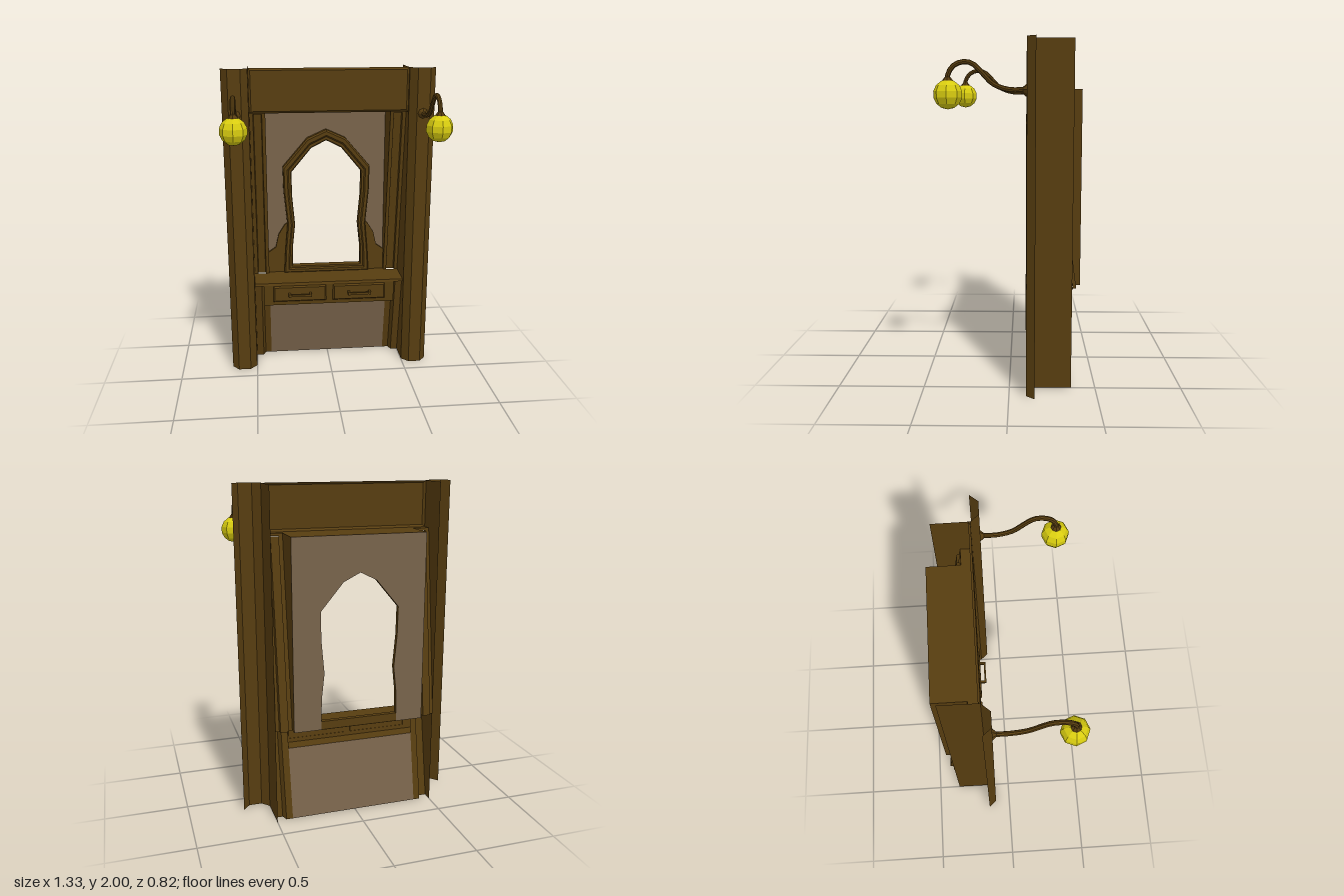
import * as THREE from 'three';

const mat = (color) => new THREE.MeshStandardMaterial({ color, flatShading: true, side: THREE.DoubleSide });
const wood = mat(0x573d10), paneling = mat(0x78634b), glow = mat(0xd8cc10);

export function createModel() {
  const root = new THREE.Group();
  const add = (name, geo, material = wood, parent = root) => {
    const mesh = new THREE.Mesh(geo, material);
    mesh.name = name;
    parent.add(mesh);
    return mesh;
  };

  // Skin joining successive rows of [x, y, z] points
  const skin = (rows, closed = false) => {
    const pos = [];
    for (let r = 0; r < rows.length - 1; r++) {
      const a = rows[r], b = rows[r + 1], n = a.length;
      for (let i = 0; i < (closed ? n : n - 1); i++) {
        const j = (i + 1) % n;
        pos.push(...a[i], ...a[j], ...b[j], ...a[i], ...b[j], ...b[i]);
      }
    }
    const geo = new THREE.BufferGeometry();
    geo.setAttribute('position', new THREE.Float32BufferAttribute(pos, 3));
    geo.computeVertexNormals();
    return geo;
  };
  const quad = (a, b, c, d) => skin([[a, b], [d, c]]);

  // Board with a bevelled rim: back rim at zb, face at zf
  const bevelBoard = (name, x0, x1, y0, y1, zb, zf, inset, parent) => {
    const rect = (k, z) => [[x0 + k, y0 + k, z], [x1 - k, y0 + k, z], [x1 - k, y1 - k, z], [x0 + k, y1 - k, z]];
    add(name + 'Rim', skin([rect(0, zb), rect(inset, zf)], true), wood, parent);
    add(name + 'Face', quad(...rect(inset, zf)), wood, parent);
  };

  // Slopes of the upper side posts and of the lower kick panel
  const upperZ = (y) => -0.365 + (y - 0.59) * 0.132;
  const lowerZ = (y) => -0.34 + y * 0.186;

  // Header, with its soffit and the ceiling of the niche
  bevelBoard('header', -0.5, 0.5, 1.725, 2, -0.157, -0.145, 0.013);
  add('soffit', quad([-0.5, 1.725, -0.157], [0.5, 1.725, -0.157], [0.5, 1.725, -0.215], [-0.5, 1.725, -0.215]));
  add('nicheCeiling', quad([-0.4, 1.725, -0.215], [0.4, 1.725, -0.215], [0.4, 1.725, -0.412], [-0.4, 1.725, -0.412]));

  // Shelf, apron and kick panel
  add('shelf', skin([
    [[-0.5, 0.575, -0.16], [0.5, 0.575, -0.16]],
    [[-0.5, 0.59, -0.165], [0.5, 0.59, -0.165]],
    [[-0.5, 0.59, -0.365], [0.5, 0.59, -0.365]],
  ]));
  add('shelfBack', quad([-0.4, 0.59, -0.365], [0.4, 0.59, -0.365], [0.4, 0.59, -0.412], [-0.4, 0.59, -0.412]));
  add('apron', skin([
    [[-0.44, 0.59, -0.165], [0.44, 0.59, -0.165]],
    [[-0.44, 0.43, -0.172], [0.44, 0.43, -0.172]],
    [[-0.44, 0.43, lowerZ(0.43)], [0.44, 0.43, lowerZ(0.43)]],
  ]));
  add('kickPanel', quad([-0.4, 0, lowerZ(0)], [0.4, 0, lowerZ(0)], [0.4, 0.43, lowerZ(0.43)], [-0.4, 0.43, lowerZ(0.43)]), paneling);

  // Half outlines of the mirror frame, from the foot up to the peak
  const outerHalf = [[0.295, 0.59], [0.285, 0.75], [0.268, 0.935], [0.29, 1.17], [0.293, 1.335], [0.127, 1.528], [0, 1.585]];
  const innerHalf = [[0.235, 0.64], [0.232, 0.78], [0.215, 0.935], [0.232, 1.13], [0.235, 1.3], [0.1, 1.462], [0, 1.512]];
  const full = (half) => [...half, ...half.slice(0, -1).reverse().map(([x, y]) => [-x, y])];
  const outer = full(outerHalf), inner = full(innerHalf);
  const loop = (t, z) => outer.map(([x, y], i) => [x + (inner[i][0] - x) * t, y + (inner[i][1] - y) * t, z]);
  add('mirrorFrame', skin([
    loop(0, -0.408), loop(0, -0.37), loop(0.15, -0.358), loop(0.5, -0.358),
    loop(0.65, -0.37), loop(0.9, -0.37), loop(1, -0.38), loop(1, -0.408), loop(0, -0.408),
  ], true));

  // Back panel with an arched opening
  const arch = [[0.235, 0.59], ...inner, [-0.235, 0.59]];
  const panelShape = new THREE.Shape(
    [[0.4, 0.59], [0.4, 1.725], [-0.4, 1.725], [-0.4, 0.59], ...arch.slice().reverse()].map(([x, y]) => new THREE.Vector2(x, y)));
  add('backPanel', new THREE.ShapeGeometry(panelShape).translate(0, 0, -0.412), paneling);

  for (const s of [1, -1]) {
    const side = new THREE.Group();
    side.name = s > 0 ? 'leftSide' : 'rightSide';
    root.add(side);
    const m = (x, y, z) => [s * x, y, z];

    // Open column with a chamfered front and a deep inner flank
    const section = [[0.5, -0.36], [0.502, -0.145], [0.545, -0.097], [0.624, -0.097], [0.666, -0.145]];
    add('column', skin([0, 2].map((y) => section.map(([x, z]) => m(x, y, z)))), wood, side);

    // Sloping upper post with a sunken groove
    const post = (y) => [[0.5, 0], [0.478, 0], [0.474, -0.02], [0.426, -0.02], [0.422, 0], [0.4, 0]]
      .map(([x, d]) => m(x, y, upperZ(y) + d));
    add('upperPost', skin([post(0.59), post(1.71)]), wood, side);
    add('postCap', quad(m(0.4, 1.71, upperZ(1.71)), m(0.5, 1.71, upperZ(1.71)), m(0.5, 1.725, -0.215), m(0.4, 1.725, -0.215)), wood, side);
    add('nicheWall', quad(m(0.4, 0.59, upperZ(0.59)), m(0.4, 1.725, -0.215), m(0.4, 1.725, -0.412), m(0.4, 0.59, -0.412)), wood, side);

    // Sloping lower leg, raised along its outer strip
    const leg = (y) => [[0.5, 0.04], [0.455, 0.04], [0.44, 0], [0.4, 0]].map(([x, d]) => m(x, y, lowerZ(y) + d));
    add('lowerLeg', skin([leg(0), leg(0.59)]), wood, side);
    add('apronEnd', quad(m(0.44, 0.59, -0.165), m(0.44, 0.43, -0.172), m(0.44, 0.43, lowerZ(0.43)), m(0.44, 0.59, lowerZ(0.59))), wood, side);

    // Carved wing beside the foot of the mirror
    const wing = new THREE.Shape([[0.27, 0.59], [0.4, 0.59], [0.4, 0.735], [0.35, 0.77], [0.33, 0.86], [0.29, 0.925], [0.262, 0.95]]
      .map(([x, y]) => new THREE.Vector2(s * x, y)));
    add('mirrorWing', new THREE.ExtrudeGeometry(wing, { depth: 0.02, bevelEnabled: false }).translate(0, 0, -0.409), wood, side);

    // Drawer front with a bar handle
    const cx = s * 0.2;
    bevelBoard('drawer', cx - 0.18, cx + 0.18, 0.455, 0.572, -0.172, -0.152, 0.012, side);
    add('handleBar', new THREE.BoxGeometry(0.155, 0.014, 0.012).translate(cx, 0.514, -0.121), wood, side);
    for (const k of [-1, 1]) {
      add('handlePost', new THREE.BoxGeometry(0.014, 0.02, 0.04).translate(cx + k * 0.07, 0.514, -0.135), wood, side);
    }

    // Gooseneck lamp
    const lamp = new THREE.Group();
    lamp.name = 'lamp';
    lamp.position.x = s * 0.583;
    side.add(lamp);
    const neck = new THREE.CatmullRomCurve3(
      [[1.72, -0.095], [1.72, 0], [1.75, 0.085], [1.81, 0.145], [1.86, 0.2], [1.867, 0.25], [1.845, 0.3], [1.8, 0.328], [1.765, 0.33]]
        .map(([y, z]) => new THREE.Vector3(0, y, z)));
    add('lampArm', new THREE.TubeGeometry(neck, 18, 0.014, 8), wood, lamp);
    add('wallMount', new THREE.CylinderGeometry(0.014, 0.033, 0.022, 8).rotateX(Math.PI / 2).translate(0, 1.72, -0.087), wood, lamp);
    add('lampCap', new THREE.CylinderGeometry(0.015, 0.03, 0.02, 8).translate(0, 1.777, 0.33), wood, lamp);
    add('lampGlobe', new THREE.SphereGeometry(0.08, 8, 7).translate(0, 1.694, 0.33), glow, lamp);
  }
  return root;
}
